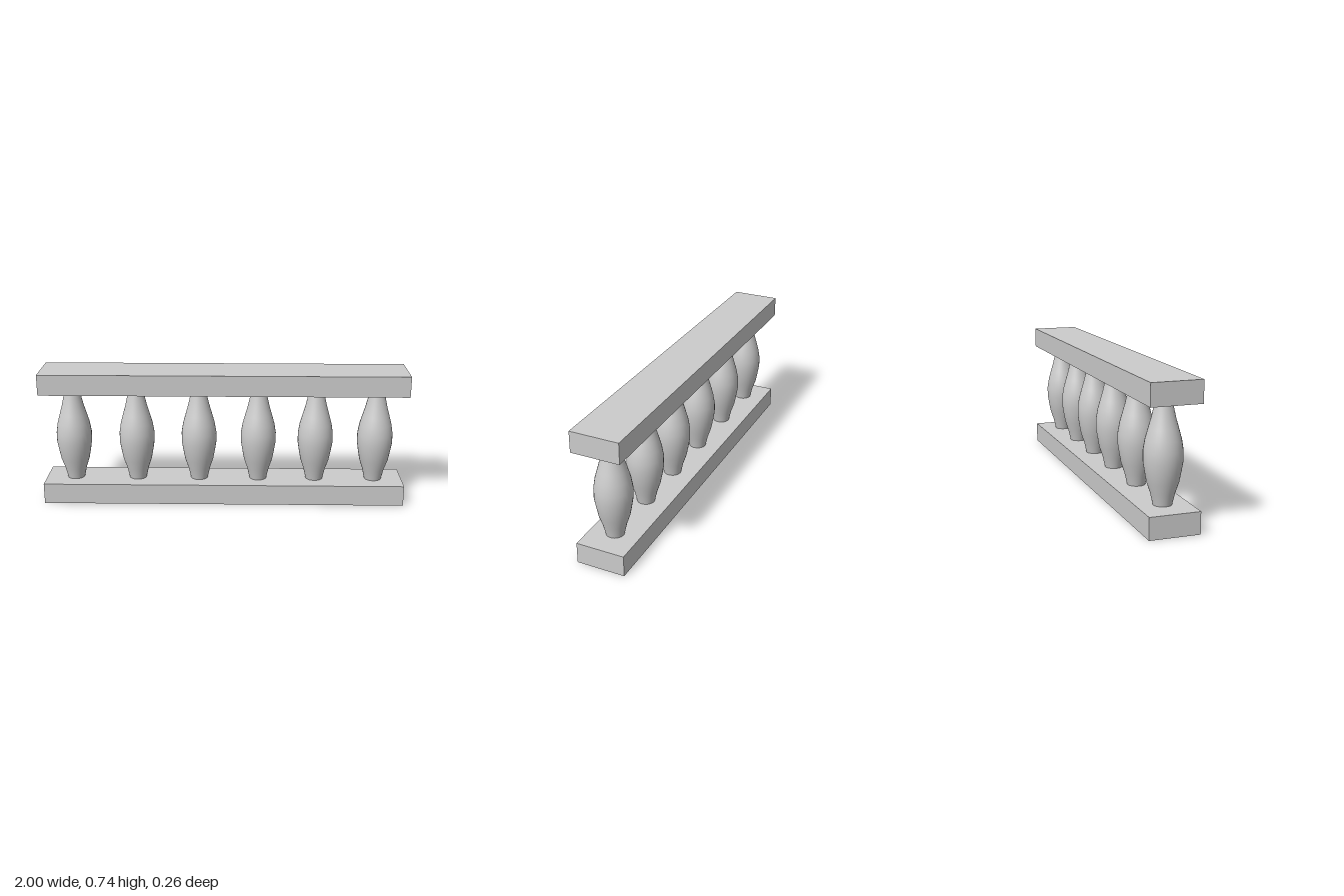
import * as THREE from 'three';

const material = new THREE.MeshStandardMaterial({ color: 0xcccccc });

// Baluster outline: radius, height
const profile = [
  [0.047, 0.113], [0.061, 0.174], [0.079, 0.227], [0.089, 0.28], [0.097, 0.33],
  [0.097, 0.383], [0.088, 0.438], [0.074, 0.488], [0.06, 0.537], [0.049, 0.585], [0.04, 0.63],
].map(([r, y]) => new THREE.Vector2(r, y));

function addRail(group, name, y) {
  const rail = new THREE.Mesh(new THREE.BoxGeometry(2, 0.114, 0.262), material);
  rail.name = name;
  rail.position.y = y;
  group.add(rail);
}

export function createModel() {
  const group = new THREE.Group();
  group.name = 'balustrade';

  addRail(group, 'bottomRail', 0.057);
  addRail(group, 'topRail', 0.686);

  // Turned balusters, slightly unevenly spaced
  const balusterGeometry = new THREE.LatheGeometry(profile, 32);
  [-0.837, -0.485, -0.138, 0.193, 0.51, 0.841].forEach((x, i) => {
    const baluster = new THREE.Mesh(balusterGeometry, material);
    baluster.name = `baluster${i + 1}`;
    baluster.position.set(x, 0, 0.002);
    group.add(baluster);
  });

  return group;
}
